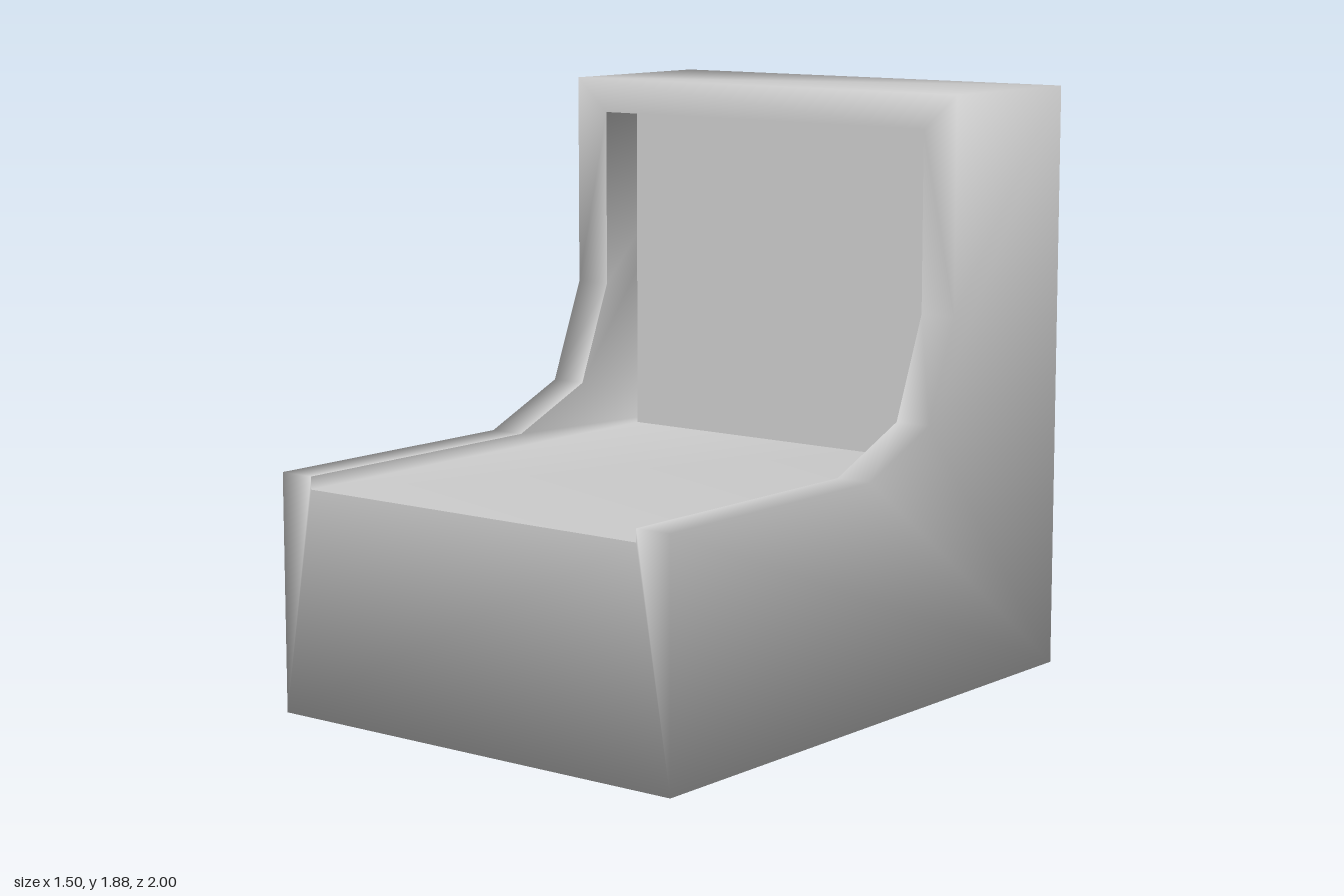
import * as THREE from 'three';
import { mergeVertices } from 'three/addons/utils/BufferGeometryUtils.js';

const W = 0.75, IN = 0.63;                 // outer and inner half widths
const FLOOR = 0.71, CEIL = 1.77, TOP = 1.88;
const FACE = -0.4, BACK = -1, FRONT = 1;   // z of upper face, back and front

// stepped upper edge of the side walls, as [z, y]
const RIM = [[FRONT, 0.75], [0.04, 0.75], [-0.27, 0.88], [FACE, 1.2]];

const v = (x, y, z) => new THREE.Vector3(x, y, z);

// Flat polygons ({ pts, out }) joined into one smooth-shaded surface
function surface(polys) {
  const pos = [];
  for (const { pts, out } of polys) {
    const normal = new THREE.Vector3();
    pts.forEach((p, i) => normal.add(p.clone().cross(pts[(i + 1) % pts.length])));
    normal.normalize();
    const u = pts[1].clone().sub(pts[0]).normalize();
    const w = normal.clone().cross(u);
    const flat = pts.map(p => new THREE.Vector2(p.dot(u), p.dot(w)));
    for (const [a, b, c] of THREE.ShapeUtils.triangulateShape(flat, [])) {
      const [A, B, C] = [pts[a], pts[b], pts[c]];
      const n = B.clone().sub(A).cross(C.clone().sub(A));
      const tri = n.dot(out) > 0 ? [A, B, C] : [A, C, B];
      tri.forEach(p => pos.push(p.x, p.y, p.z));
    }
  }
  let g = new THREE.BufferGeometry();
  g.setAttribute('position', new THREE.Float32BufferAttribute(pos, 3));
  g = mergeVertices(g, 1e-4);
  g.computeVertexNormals();
  return g;
}

function shellGeometry() {
  const polys = [];
  const add = (out, ...pts) => polys.push({ pts, out });
  const up = v(0, 1, 0), down = v(0, -1, 0), fwd = v(0, 0, 1), rear = v(0, 0, -1);

  // underside and top
  add(down, v(-W, 0, FRONT), v(W, 0, FRONT), v(W, 0, BACK), v(-W, 0, BACK));
  add(up, v(-W, TOP, FACE), v(W, TOP, FACE), v(W, TOP, BACK), v(-W, TOP, BACK));
  // front panel, and the panel below the rear opening
  add(fwd, v(-W, 0, FRONT), v(W, 0, FRONT), v(IN, FLOOR, FRONT), v(-IN, FLOOR, FRONT));
  add(rear, v(-W, 0, BACK), v(W, 0, BACK), v(IN, FLOOR, BACK), v(-IN, FLOOR, BACK));
  // lintels of the opening
  for (const [z, out] of [[FACE, fwd], [BACK, rear]])
    add(out, v(-W, TOP, z), v(W, TOP, z), v(IN, CEIL, z), v(-IN, CEIL, z));

  for (const s of [-1, 1]) {
    const o = s * W, i = s * IN;
    // outer side
    const profile = [[FRONT, 0], ...RIM, [FACE, TOP], [BACK, TOP], [BACK, 0]];
    add(v(s, 0, 0), ...profile.map(([z, y]) => v(o, y, z)));
    // front end of the wall, and the frame posts
    add(fwd, v(o, 0, FRONT), v(o, 0.75, FRONT), v(i, 0.75, FRONT), v(i, FLOOR, FRONT));
    add(fwd, v(o, 1.2, FACE), v(o, TOP, FACE), v(i, CEIL, FACE), v(i, 1.2, FACE));
    add(rear, v(o, 0, BACK), v(o, TOP, BACK), v(i, CEIL, BACK), v(i, FLOOR, BACK));
    // stepped wall top
    for (let k = 0; k < RIM.length - 1; k++) {
      const [z0, y0] = RIM[k], [z1, y1] = RIM[k + 1];
      add(v(0, 1, 1), v(o, y0, z0), v(i, y0, z0), v(i, y1, z1), v(o, y1, z1));
    }
  }
  return surface(polys);
}

function liningGeometry() {
  const polys = [
    { out: v(0, 1, 0), pts: [v(-IN, FLOOR, FRONT), v(IN, FLOOR, FRONT), v(IN, FLOOR, BACK), v(-IN, FLOOR, BACK)] },
    { out: v(0, -1, 0), pts: [v(-IN, CEIL, FACE), v(IN, CEIL, FACE), v(IN, CEIL, BACK), v(-IN, CEIL, BACK)] },
  ];
  const wall = [[FRONT, FLOOR], ...RIM, [FACE, CEIL], [BACK, CEIL], [BACK, FLOOR]];
  for (const s of [-1, 1])
    polys.push({ out: v(-s, 0, 0), pts: wall.map(([z, y]) => v(s * IN, y, z)) });
  return surface(polys);
}

export function createModel() {
  const model = new THREE.Group();
  const material = new THREE.MeshStandardMaterial({ color: 0xcccccc, side: THREE.DoubleSide });
  const part = (name, geometry) => {
    const mesh = new THREE.Mesh(geometry, material);
    mesh.name = name;
    model.add(mesh);
    return mesh;
  };

  part('outerShell', shellGeometry());
  // floor, walls and ceiling of the channel
  part('channelLining', liningGeometry());
  // thin panel closing the opening
  const pane = part('pane', new THREE.PlaneGeometry(2 * IN, CEIL - FLOOR));
  pane.position.set(0, (CEIL + FLOOR) / 2, -0.56);
  return model;
}
